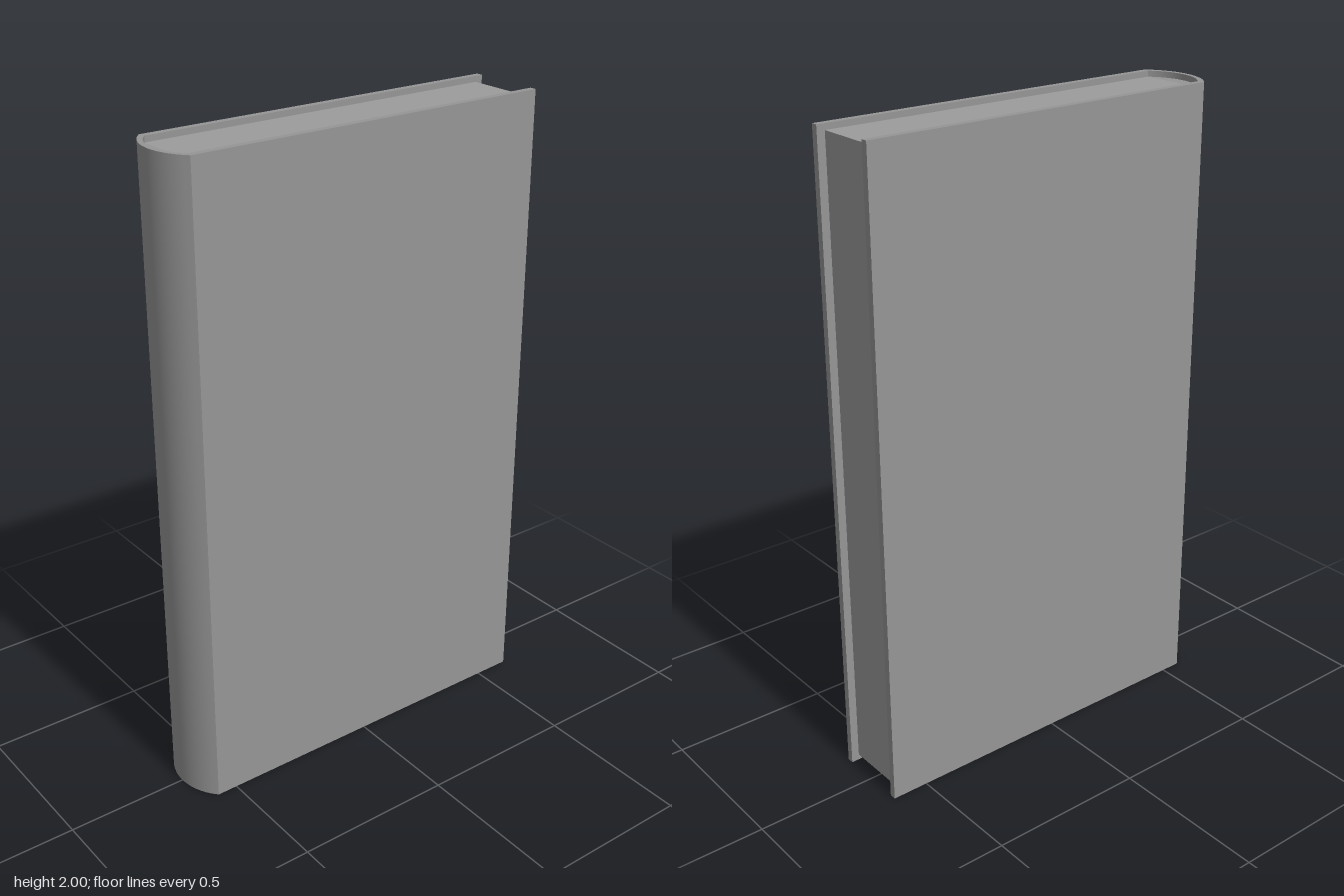
import * as THREE from 'three';
import { toCreasedNormals } from 'three/addons/utils/BufferGeometryUtils.js';

const HEIGHT = 2;
const INSET = 0.018; // page block is shorter than the cover at both ends
const coverMaterial = new THREE.MeshStandardMaterial({ color: 0x969696 });
const pageMaterial = new THREE.MeshStandardMaterial({ color: 0x9c9c9c });

// Points of a shallow arc bulging to -x, running from z = -half to z = +half
function spineArc(edgeX, half, bulge, steps = 14) {
  const r = (half * half + bulge * bulge) / (2 * bulge);
  const sweep = Math.asin(half / r);
  const cx = edgeX - bulge + r;
  return Array.from({ length: steps + 1 }, (_, i) => {
    const a = sweep * (2 * i / steps - 1);
    return new THREE.Vector2(cx - r * Math.cos(a), r * Math.sin(a));
  });
}

// Upright prism over a floor-plan outline, shortened by inset at both ends
function prism(name, outline, inset, material) {
  const geometry = new THREE.ExtrudeGeometry(new THREE.Shape(outline), {
    depth: HEIGHT - 2 * inset, bevelEnabled: false,
  });
  geometry.rotateX(-Math.PI / 2).translate(0, inset, 0);
  const mesh = new THREE.Mesh(toCreasedNormals(geometry, 0.5), material);
  mesh.name = name;
  return mesh;
}

export function createModel() {
  const book = new THREE.Group();
  book.name = 'book';
  const v = (x, z) => new THREE.Vector2(x, z);
  const innerArc = spineArc(-0.56, 0.106, 0.043);

  // Hard cover: two boards joined by a rounded spine, one C-shaped section
  const cover = [
    v(0.617, -0.127), v(0.617, -0.106),
    ...innerArc,
    v(0.617, 0.106), v(0.617, 0.127),
    ...spineArc(-0.565, 0.127, 0.052).reverse(),
  ];
  book.add(prism('cover', cover, 0, coverMaterial));

  // Page block
  const pages = [v(-0.56, -0.106), v(0.592, -0.106), v(0.592, 0.106), v(-0.56, 0.106)];
  book.add(prism('pages', pages, INSET, pageMaterial));

  // Rounded binding filling the hollow of the spine behind the pages
  book.add(prism('binding', innerArc, INSET, coverMaterial));

  return book;
}
